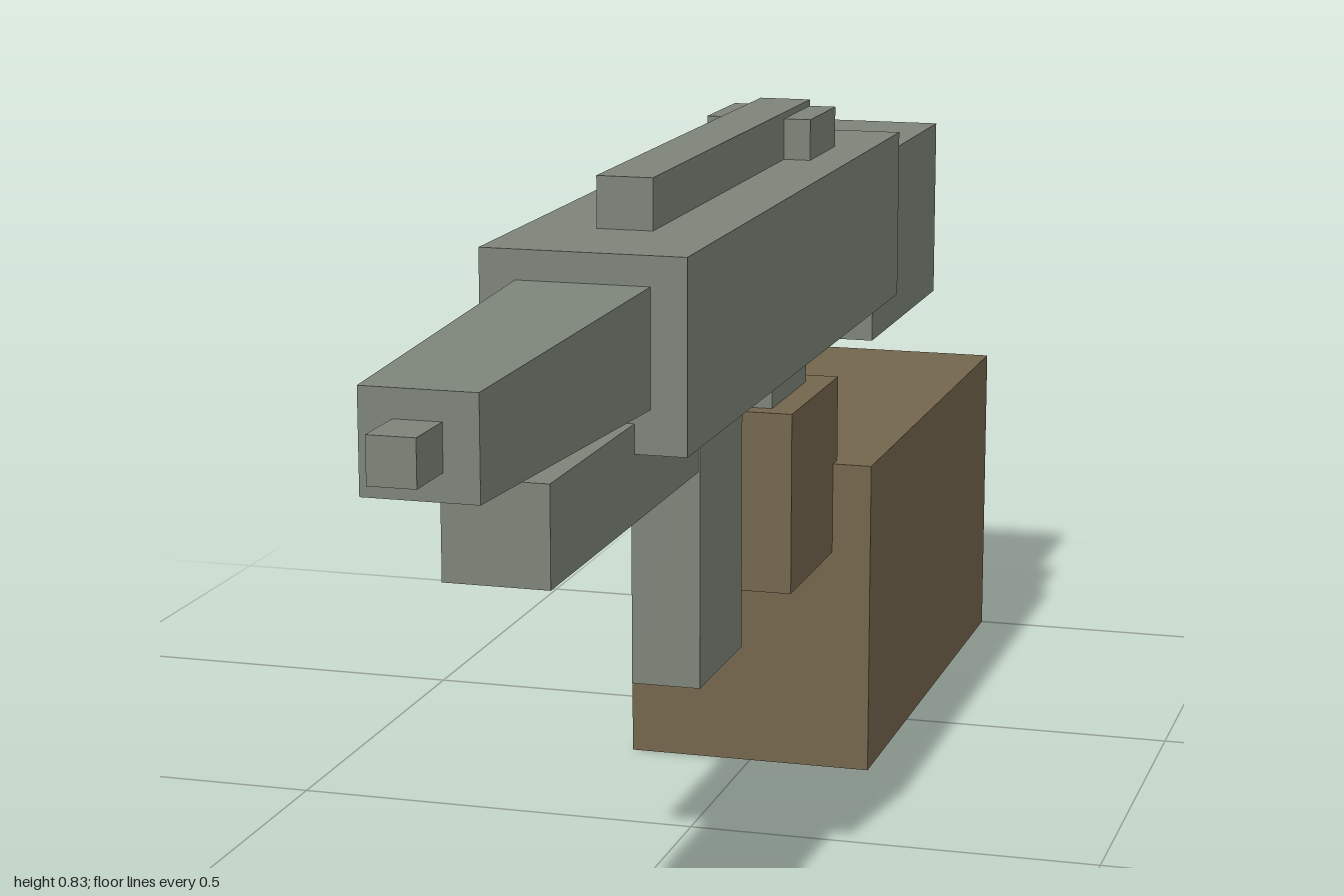
import * as THREE from 'three';

const steel = new THREE.MeshStandardMaterial({ color: 0x7d8479 });
steel.name = 'grey green metal';
const wood = new THREE.MeshStandardMaterial({ color: 0x74664d });
wood.name = 'brown';

// Box given by its [min, max] extents on each axis
function block(name, material, [x0, x1], [y0, y1], [z0, z1]) {
  const geometry = new THREE.BoxGeometry(x1 - x0, y1 - y0, z1 - z0);
  const mesh = new THREE.Mesh(geometry, material);
  mesh.name = name;
  mesh.position.set((x0 + x1) / 2, (y0 + y1) / 2, (z0 + z1) / 2);
  return mesh;
}

// Narrow the front (+z) end of a block
function taperFront(mesh, sx, sy) {
  const p = mesh.geometry.attributes.position;
  for (let i = 0; i < p.count; i++) {
    if (p.getZ(i) > 0) p.setXY(i, p.getX(i) * sx, p.getY(i) * sy);
  }
  mesh.geometry = mesh.geometry.toNonIndexed();
  mesh.geometry.computeVertexNormals();
  return mesh;
}

export function createModel() {
  const model = new THREE.Group();
  model.name = 'blockRifle';

  model.add(
    // Main body and rear stock
    block('receiver', steel, [-0.107, 0.122], [0.564, 0.777], [-0.552, 0.437]),
    block('stock', steel, [-0.074, 0.089], [0.5, 0.738], [-0.933, -0.552]),

    // Barrel and muzzle
    taperFront(block('barrel', steel, [-0.067, 0.082], [0.613, 0.744], [0.437, 0.931]), 0.8, 0.81),
    block('muzzle', steel, [-0.018, 0.031], [0.654, 0.702], [0.931, 1]),

    // Parts under the body
    block('foregrip', steel, [-0.05, 0.064], [0.489, 0.597], [0.192, 0.72]),
    block('frontHandle', steel, [-0.033, 0.049], [0.217, 0.564], [-0.05, 0.133]),
    block('magazineMount', steel, [-0.06, 0.075], [0.504, 0.564], [-0.254, -0.09]),

    // Parts on the top and the side
    block('sightRail', steel, [-0.024, 0.04], [0.777, 0.835], [-0.402, 0.287]),
    block('rearSight', steel, [-0.058, 0.073], [0.777, 0.827], [-0.402, -0.274]),
    block('boltHandle', steel, [-0.15, -0.107], [0.63, 0.694], [-0.225, -0.114]),

    // Ammunition boxes
    block('magazine', wood, [-0.091, 0.106], [0.283, 0.504], [-0.295, -0.065]),
    block('ammoBox', wood, [-0.157, 0.155], [0, 0.397], [-1, -0.273]),
  );
  return model;
}
